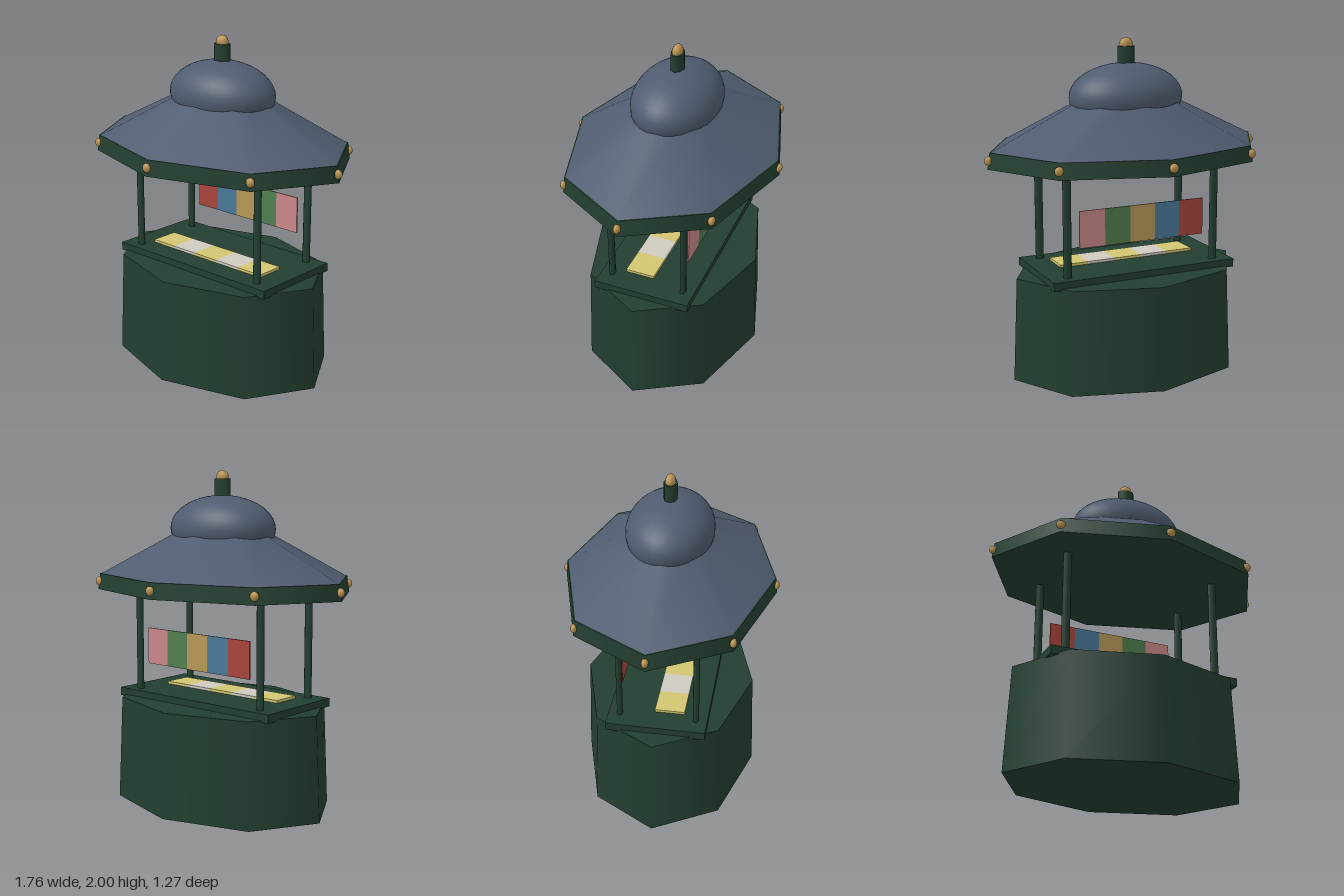
import * as THREE from 'three';

const mat = (name, color) => {
  const m = new THREE.MeshStandardMaterial({ color });
  m.name = name;
  return m;
};

export function createModel() {
  const root = new THREE.Group();
  root.name = 'kiosk';
  const DEPTH = 0.725; // the plan is a stretched octagon, narrower in z

  const green = mat('darkGreen', 0x233f30);
  const slate = mat('slateBlue', 0x4f5c70);
  const brass = mat('brass', 0xb8924f);
  const red = mat('red', 0xa9453c);
  const blue = mat('blue', 0x4a7a99);
  const ochre = mat('ochre', 0xb89858);
  const leaf = mat('leafGreen', 0x517f4f);
  const pink = mat('pink', 0xca888a);
  const yellow = mat('yellow', 0xd2c670);
  const cream = mat('cream', 0xcfcac0);

  const add = (name, geometry, material, x, y, z, sy = 1, sz = 1) => {
    const mesh = new THREE.Mesh(geometry, material);
    mesh.name = name;
    mesh.position.set(x, y, z);
    mesh.scale.set(1, sy, sz);
    root.add(mesh);
    return mesh;
  };
  // Round part between two heights, squashed in z
  const drum = (name, rTop, rBottom, y0, y1, material, sides = 8, x = 0, z = 0) =>
    add(name, new THREE.CylinderGeometry(rTop, rBottom, y1 - y0, sides), material,
      x, (y0 + y1) / 2, z, 1, DEPTH);
  const box = (name, w, h, d, material, x, y, z) =>
    add(name, new THREE.BoxGeometry(w, h, d), material, x, y, z);

  // Base and counter
  drum('base', 0.705, 0.735, 0, 0.625, green);
  box('counter', 1.17, 0.05, 0.585, green, 0, 0.64, 0);

  // Papers laid out on the counter
  for (let i = 0; i < 5; i++) {
    box('counterPaper', 0.175, 0.018, 0.177, i % 2 ? cream : yellow,
      (i - 2) * 0.175, 0.672, 0.065);
  }

  // Corner posts
  for (const x of [-0.475, 0.475]) {
    for (const z of [-0.225, 0.225]) {
      drum('post', 0.025, 0.025, 0.66, 1.3, green, 10, x, z);
    }
  }

  // Row of coloured panels hung between the rear posts
  [red, blue, ochre, leaf, pink].forEach((m, i) => {
    box('displayPanel', 0.16, 0.22, 0.009, m, (i - 2) * 0.16, 0.94, -0.225);
  });

  // Roof: fascia band, sloping skirt, dome
  drum('fascia', 0.848, 0.862, 1.29, 1.385, green);
  drum('roofSkirt', 0.24, 0.84, 1.384, 1.672, slate);
  add('dome', new THREE.SphereGeometry(0.35, 32, 20), slate, 0, 1.658, 0, 0.563, DEPTH);

  // Brass studs on the fascia corners
  const stud = new THREE.SphereGeometry(0.027, 14, 10);
  for (let i = 0; i < 8; i++) {
    const a = (i * Math.PI) / 4;
    add('fasciaStud', stud, brass, 0.852 * Math.cos(a), 1.338, 0.852 * Math.sin(a) * DEPTH, 1, DEPTH);
  }

  // Finial
  drum('finialStem', 0.055, 0.055, 1.83, 1.95, green);
  add('finialBall', new THREE.SphereGeometry(0.042, 16, 12), brass, 0, 1.958, 0, 1, DEPTH);

  return root;
}
